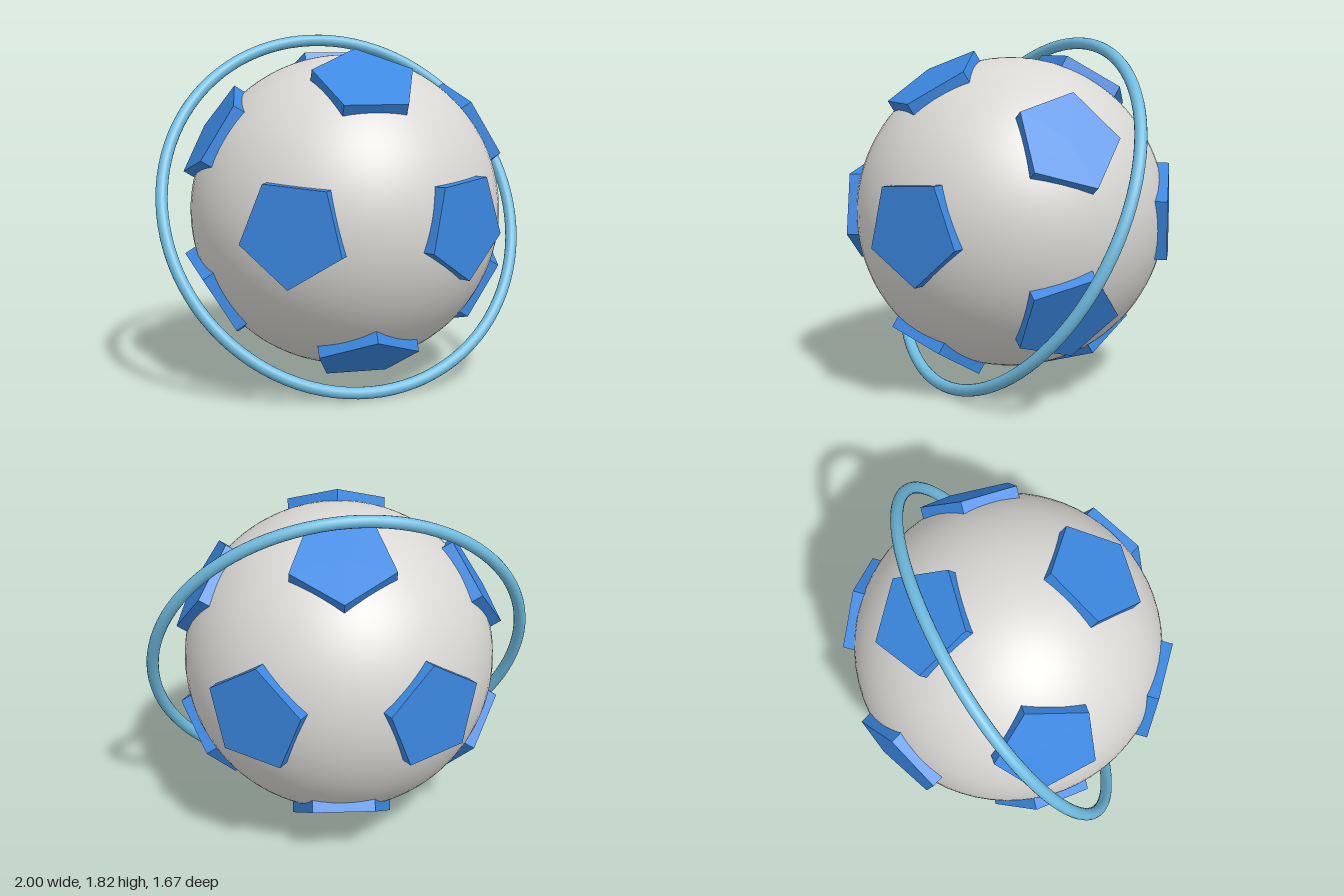
import * as THREE from 'three';

const CENTRE_Y = 0.915;
const BALL_RADIUS = 0.81;

function createMaterials() {
  const make = (name, color) => {
    const material = new THREE.MeshStandardMaterial({ color });
    material.name = name;
    return material;
  };
  return {
    grey: make('light grey', 0xd9d8d4),
    blue: make('blue', 0x3b88e2),
    sky: make('sky blue', 0x70bce0),
  };
}

// The twelve corners of an icosahedron, as unit directions
function icosahedronDirections() {
  const phi = (1 + Math.sqrt(5)) / 2;
  const directions = [];
  for (const a of [-1, 1]) {
    for (const b of [-phi, phi]) {
      directions.push(
        new THREE.Vector3(0, b, a),
        new THREE.Vector3(a, 0, b),
        new THREE.Vector3(b, a, 0),
      );
    }
  }
  return directions.map((d) => d.normalize());
}

export function createModel() {
  const model = new THREE.Group();
  model.name = 'ringedBall';
  const materials = createMaterials();

  // Everything shares the ball's centre
  const body = new THREE.Group();
  body.name = 'body';
  body.position.y = CENTRE_Y;
  model.add(body);

  const ball = new THREE.Mesh(new THREE.SphereGeometry(BALL_RADIUS, 64, 48), materials.grey);
  ball.name = 'ball';
  body.add(ball);

  // Raised pentagonal plates, partly sunk into the ball
  const inner = 0.76;
  const outer = 0.826;
  const plate = new THREE.CylinderGeometry(0.27, 0.27, outer - inner, 5, 1, false, Math.PI)
    .translate(0, (inner + outer) / 2, 0)
    .toNonIndexed();
  plate.computeVertexNormals();

  const plates = new THREE.Group();
  plates.name = 'pentagonPlates';
  body.add(plates);
  const up = new THREE.Vector3(0, 1, 0);
  icosahedronDirections().forEach((direction, i) => {
    const mesh = new THREE.Mesh(plate, materials.blue);
    mesh.name = `pentagonPlate${i + 1}`;
    mesh.quaternion.setFromUnitVectors(up, direction);
    plates.add(mesh);
  });

  // Tilted orbit ring around the ball
  const ring = new THREE.Mesh(new THREE.TorusGeometry(0.977, 0.031, 16, 96), materials.sky);
  ring.name = 'orbitRing';
  ring.quaternion.setFromUnitVectors(
    new THREE.Vector3(0, 0, 1),
    new THREE.Vector3(0.117, 0.434, 0.893).normalize(),
  );
  body.add(ring);

  return model;
}
